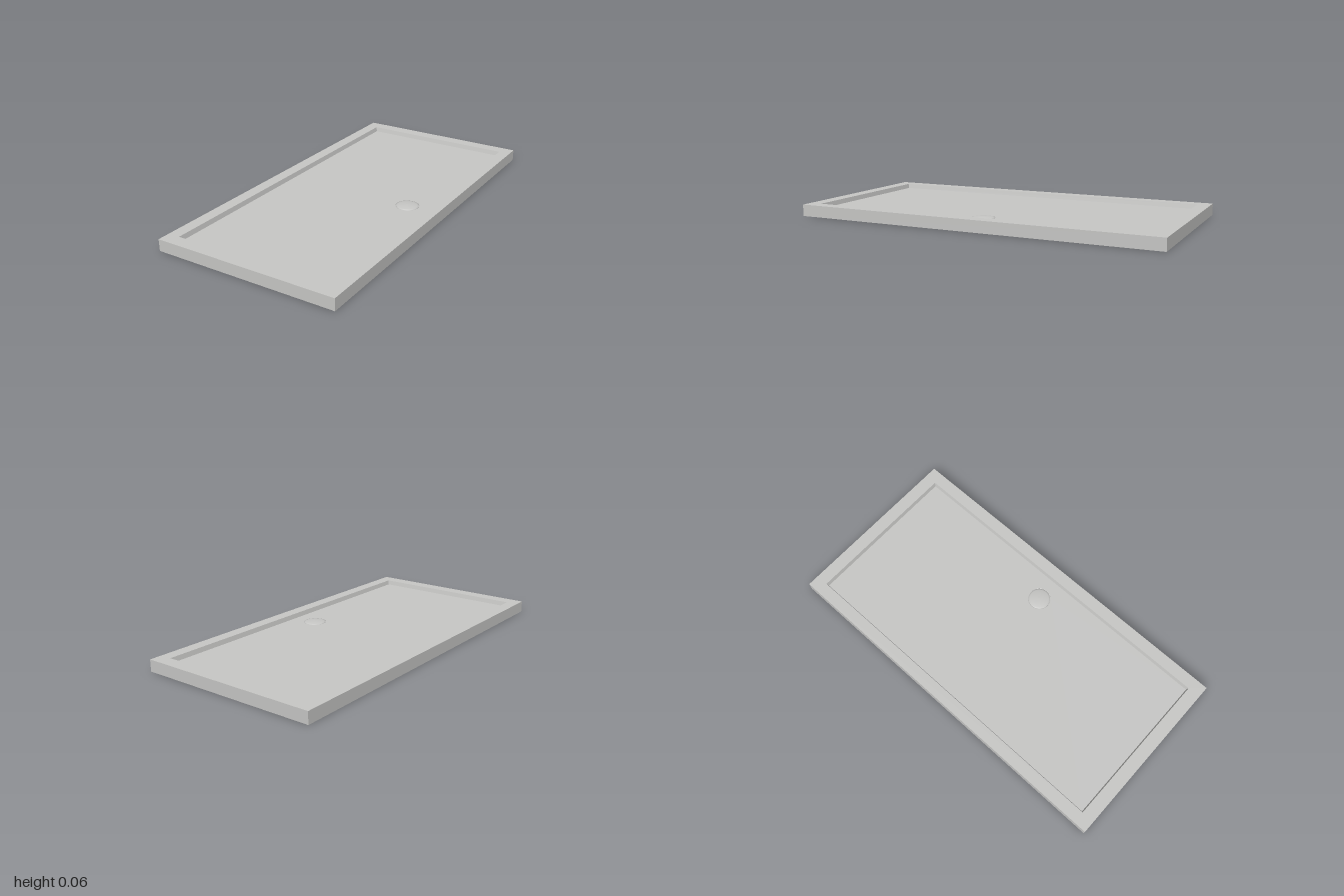
import * as THREE from 'three';

const HEIGHT = 0.063, FLOOR = 0.038;
const DRAIN = { x: 0.3, z: 0, r: 0.063 };

// Band of four flat quads joining two rectangles given as [halfX, halfZ, y]
function band(a, b) {
  const corners = ([x, z, y]) => [[x, y, z], [x, y, -z], [-x, y, -z], [-x, y, z]];
  const p = corners(a), q = corners(b), pos = [];
  for (let i = 0; i < 4; i++) {
    const j = (i + 1) % 4;
    pos.push(...p[i], ...p[j], ...q[j], ...p[i], ...q[j], ...q[i]);
  }
  const g = new THREE.BufferGeometry();
  g.setAttribute('position', new THREE.Float32BufferAttribute(pos, 3));
  g.computeVertexNormals();
  return g;
}

export function createModel() {
  const group = new THREE.Group();
  group.name = 'showerTray';
  const enamel = new THREE.MeshStandardMaterial({ color: 0xc6c6c4, side: THREE.DoubleSide });
  enamel.name = 'pale grey enamel';

  const add = (name, geometry) => {
    const mesh = new THREE.Mesh(geometry, enamel);
    mesh.name = name;
    group.add(mesh);
    return mesh;
  };

  // Open-bottomed shell: skirt, flat rim and recess wall
  const base = [0.5, 1, 0], outer = [0.5, 1, HEIGHT];
  const lip = [0.435, 0.93, HEIGHT], foot = [0.429, 0.924, FLOOR];
  add('skirt', band(base, outer));
  add('rim', band(outer, lip));
  add('recessWall', band(lip, foot));

  // Sunken floor with a round drain opening
  const [fx, fz] = foot;
  const shape = new THREE.Shape([[-fx, -fz], [fx, -fz], [fx, fz], [-fx, fz]]
    .map(([x, y]) => new THREE.Vector2(x, y)));
  shape.holes.push(new THREE.Path().absarc(DRAIN.x, -DRAIN.z, DRAIN.r, 0, Math.PI * 2, true));
  add('floor', new THREE.ShapeGeometry(shape, 24).rotateX(-Math.PI / 2).translate(0, FLOOR, 0));

  // Shallow well around the drain
  const well = [[DRAIN.r, 0], [DRAIN.r, -0.004], [DRAIN.r - 0.008, -0.004]]
    .map(([x, y]) => new THREE.Vector2(x, y));
  add('drainWell', new THREE.LatheGeometry(well, 48)).position.set(DRAIN.x, FLOOR, DRAIN.z);

  // Slightly domed drain cover
  const dome = [[0.06, -0.004], [0.06, 0.001], [0.052, 0.003], [0.036, 0.0055], [0.018, 0.007], [0, 0.0075]]
    .map(([x, y]) => new THREE.Vector2(x, y));
  add('drainCover', new THREE.LatheGeometry(dome, 48)).position.set(DRAIN.x, FLOOR, DRAIN.z);
  const under = new THREE.CircleGeometry(0.06, 48).rotateX(Math.PI / 2);
  add('drainCoverBase', under).position.set(DRAIN.x, FLOOR - 0.004, DRAIN.z);

  return group;
}
